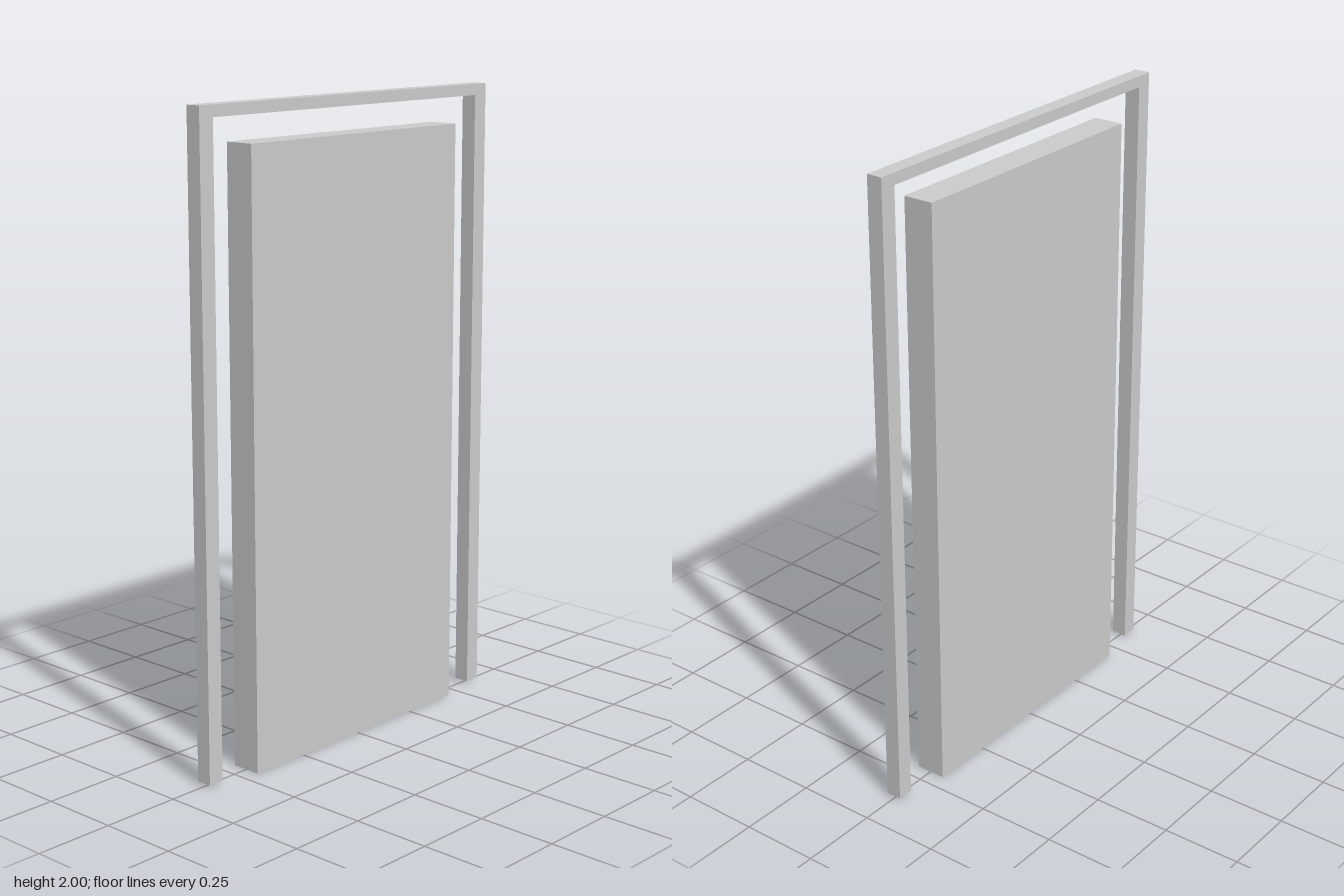
import * as THREE from 'three';

const FRAME = { outer: 0.625, inner: 0.573, bottom: 0.01, top: 2, lintel: 1.965, depth: 0.05 };
const DOOR = { width: 0.898, height: 1.885, depth: 0.097 };

export function createModel() {
  const model = new THREE.Group();
  model.name = 'doorway';
  const material = new THREE.MeshStandardMaterial({ color: 0xcccccc });

  // Door frame: two posts and a lintel as one outline, open at the floor
  const { outer, inner, bottom, top, lintel, depth } = FRAME;
  const outline = new THREE.Shape([
    [-outer, bottom], [-inner, bottom], [-inner, lintel], [inner, lintel],
    [inner, bottom], [outer, bottom], [outer, top], [-outer, top],
  ].map(([z, y]) => new THREE.Vector2(z, y)));
  const frameGeometry = new THREE.ExtrudeGeometry(outline, { depth, bevelEnabled: false });
  frameGeometry.translate(0, 0, -depth / 2).rotateY(-Math.PI / 2);
  const frame = new THREE.Mesh(frameGeometry, material);
  frame.name = 'doorFrame';
  model.add(frame);

  // Door panel: plain slab standing clear of the frame
  const door = new THREE.Mesh(new THREE.BoxGeometry(DOOR.depth, DOOR.height, DOOR.width), material);
  door.position.y = DOOR.height / 2;
  door.name = 'doorPanel';
  model.add(door);

  return model;
}
